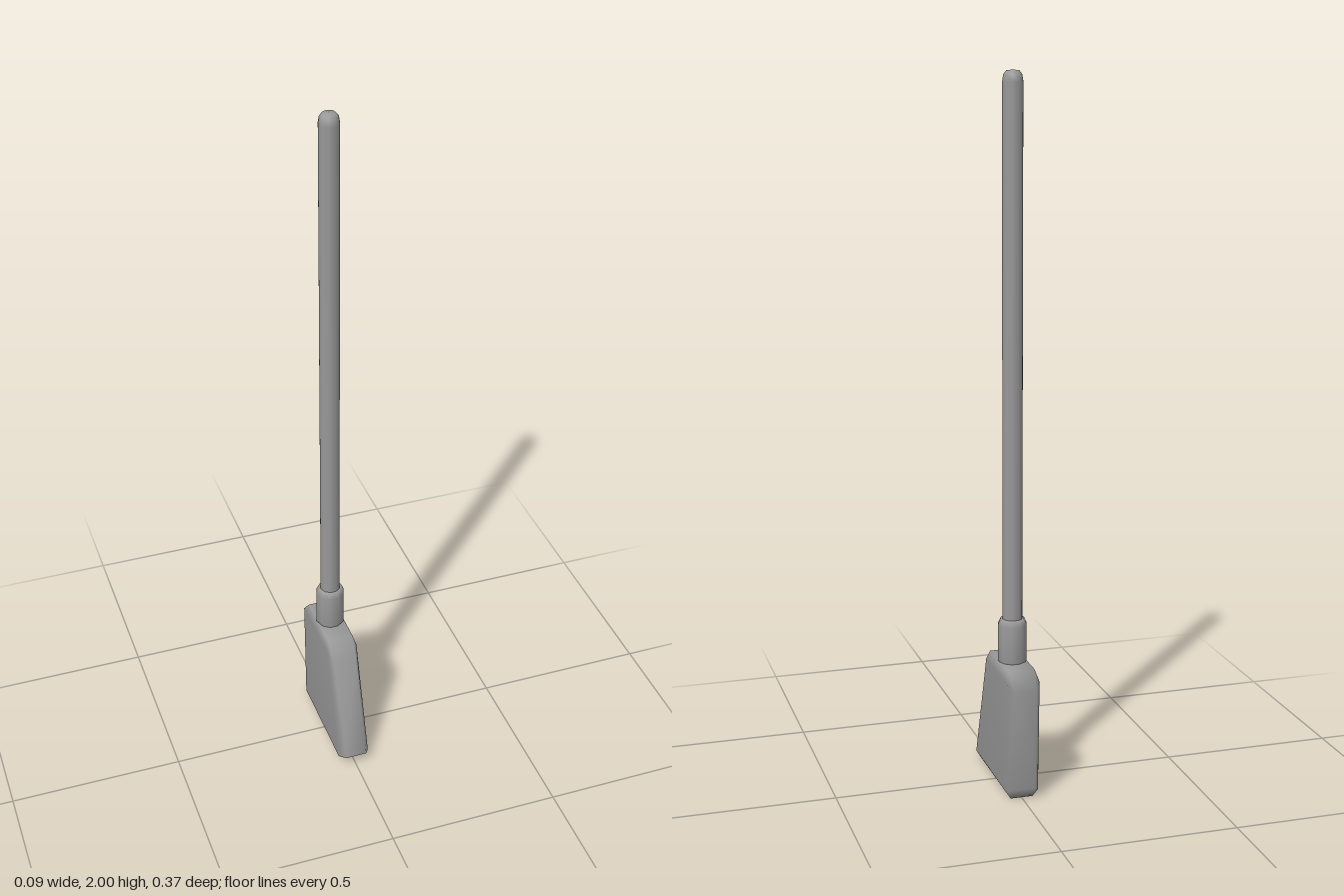
import * as THREE from 'three';
import { ConvexGeometry } from 'three/addons/geometries/ConvexGeometry.js';
import { mergeVertices } from 'three/addons/utils/BufferGeometryUtils.js';

const material = new THREE.MeshStandardMaterial({ color: 0x999999 });
const SHAFT_Z = -0.055;

// Ten-sided turned part from [radius, height] pairs
function turned(name, profile) {
  const points = profile.map(([r, y]) => new THREE.Vector2(r, y));
  const mesh = new THREE.Mesh(new THREE.LatheGeometry(points, 10, Math.PI / 2), material);
  mesh.name = name;
  mesh.position.z = SHAFT_Z;
  return mesh;
}

// Slanted block with one bevel around every edge
function createHead() {
  // Per corner, [halfWidth, z, y] on the end face, the top or bottom face, and the side face
  const corners = [
    [[0.032, 0.183, 0.034], [0.032, 0.14, 0], [0.046, 0.158, 0.024]],
    [[0.034, 0.077, 0.325], [0.038, 0.038, 0.375], [0.046, 0.05, 0.348]],
    [[0.032, -0.183, 0.328], [0.038, -0.14, 0.375], [0.046, -0.163, 0.345]],
    [[0.032, -0.169, 0.034], [0.032, -0.145, 0], [0.046, -0.152, 0.022]],
  ];
  const points = [];
  for (const [x, z, y] of corners.flat()) {
    for (const side of [-1, 1]) points.push(new THREE.Vector3(side * x, y, z));
  }
  // Shared vertices give soft shading over the bevels
  let geometry = new ConvexGeometry(points);
  geometry.deleteAttribute('normal');
  geometry = mergeVertices(geometry);
  geometry.computeVertexNormals();
  const mesh = new THREE.Mesh(geometry, material);
  mesh.name = 'head';
  return mesh;
}

export function createModel() {
  const group = new THREE.Group();
  group.name = 'broom';

  const handle = turned('handle', [
    [0, 0.4], [0.029, 0.4], [0.029, 0.42], [0.029, 1.97], [0.026, 1.988], [0.018, 1.998], [0, 2],
  ]);
  const sleeve = turned('sleeve', [
    [0, 0.362], [0.03, 0.362], [0.042, 0.38], [0.042, 0.482], [0.034, 0.5], [0, 0.5],
  ]);

  group.add(handle, sleeve, createHead());
  return group;
}
